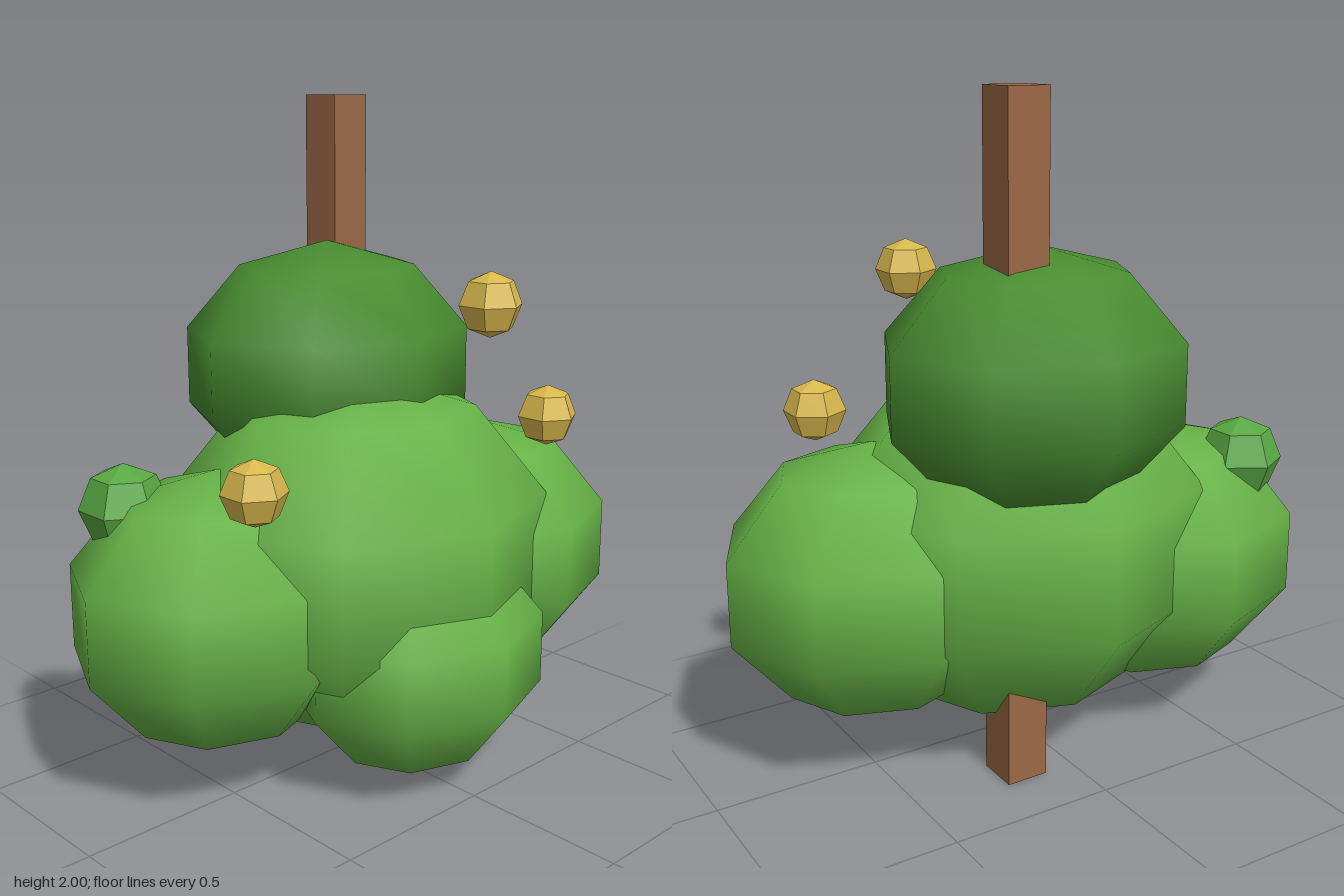
import * as THREE from 'three';

function material(name, color, flatShading = false) {
  const m = new THREE.MeshStandardMaterial({ color, flatShading });
  m.name = name;
  return m;
}

export function createModel() {
  const group = new THREE.Group();
  group.name = 'bush';

  const leaf = material('leaf green', 0x66b246);
  const darkLeaf = material('dark leaf green', 0x488c30);
  const bud = material('bud green', 0x58a842, true);
  const fruit = material('fruit yellow', 0xd8b84c, true);
  const bark = material('bark brown', 0x9a6845, true);

  function add(name, geometry, mat, position) {
    const mesh = new THREE.Mesh(geometry, mat);
    mesh.name = name;
    mesh.position.set(...position);
    group.add(mesh);
    return mesh;
  }

  // Trunk: a square post through the foliage
  add('trunk', new THREE.BoxGeometry(0.13, 2, 0.13), bark, [0.16, 1, -0.262]);

  // Foliage: smooth, low-segment ellipsoids (name, material, centre, radii)
  const clumps = [
    ['middleFoliage', leaf, [0, 0.65, 0], [0.64, 0.55, 0.578]],
    ['topFoliage', darkLeaf, [0.063, 1.185, -0.2], [0.478, 0.385, 0.432]],
    ['leftFoliage', leaf, [0.45, 0.585, 0.06], [0.482, 0.41, 0.434]],
    ['rightFoliage', leaf, [-0.45, 0.552, -0.104], [0.482, 0.41, 0.434]],
    ['frontFoliage', leaf, [0, 0.39, 0.255], [0.425, 0.355, 0.373]],
  ];
  for (const [name, mat, centre, radii] of clumps) {
    add(name, new THREE.SphereGeometry(1, 8, 5).scale(...radii), mat, centre);
  }

  // Faceted bud and fruits, with a corner facing front and back
  const faceted = (r) => new THREE.SphereGeometry(r, 6, 4).rotateY(Math.PI / 2);
  add('bud', faceted(0.132), bud, [-0.655, 0.852, -0.278]);
  const fruits = [[0.16, 1.425, 0.38], [0.512, 1.037, 0.317], [-0.55, 0.972, 0.183]];
  fruits.forEach((p, i) => add(`fruit${i + 1}`, faceted(0.095), fruit, p));

  return group;
}
